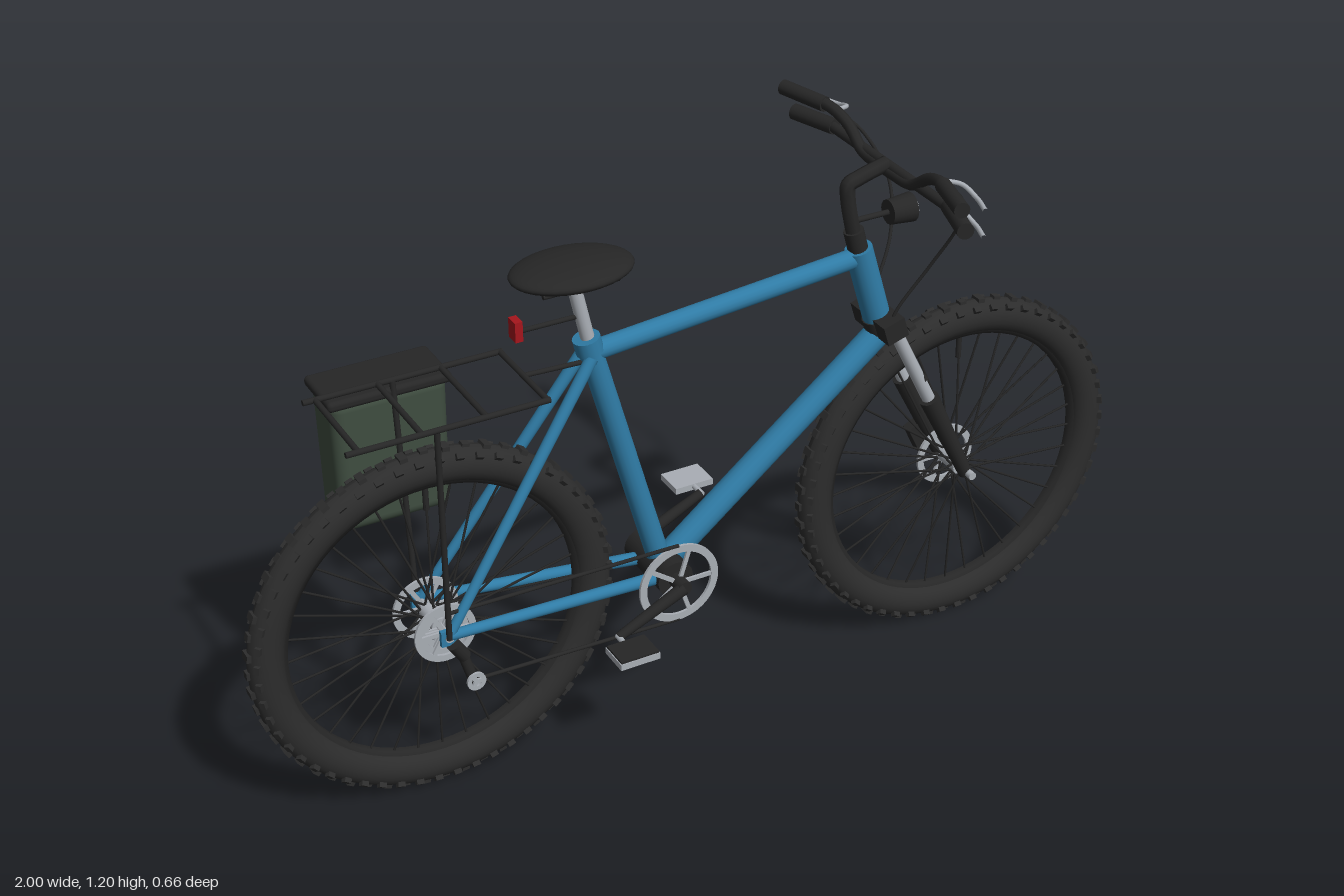
import * as THREE from 'three';
import { mergeGeometries } from 'three/addons/utils/BufferGeometryUtils.js';
import { RoundedBoxGeometry } from 'three/addons/geometries/RoundedBoxGeometry.js';

const mat = (name, color, side = THREE.FrontSide) => {
  const m = new THREE.MeshStandardMaterial({ color, side });
  m.name = name;
  return m;
};
const V = (p) => new THREE.Vector3(...p);

export function createModel() {
  const root = new THREE.Group();
  root.name = 'bicycle';
  const blue = mat('frame blue', 0x2f7ba5), black = mat('black', 0x262626), rubber = mat('tyre rubber', 0x2c2c2c);
  const silver = mat('silver', 0xa9aeb5), green = mat('bag green', 0x3f4d40), red = mat('reflector red', 0xa5161c);

  const add = (name, geo, material, pos = [0, 0, 0], parent = root) => {
    const m = new THREE.Mesh(geo, material);
    m.name = name;
    m.position.set(...pos);
    parent.add(m);
    return m;
  };
  // Straight cylinder geometry between two points
  const rodGeo = (a, b, r1, r2 = r1, sides = 16) => {
    const p = V(a), q = V(b), d = q.clone().sub(p);
    const g = new THREE.CylinderGeometry(r2, r1, d.length(), sides);
    g.applyQuaternion(new THREE.Quaternion().setFromUnitVectors(V([0, 1, 0]), d.normalize()));
    const c = p.add(q).multiplyScalar(0.5);
    return g.translate(c.x, c.y, c.z);
  };
  const rod = (name, a, b, r1, material, r2 = r1) => add(name, rodGeo(a, b, r1, r2), material);
  const tube = (name, pts, r, material, closed = false) =>
    add(name, new THREE.TubeGeometry(new THREE.CatmullRomCurve3(pts.map(V), closed, 'centripetal'), 40, r, 8, closed), material);
  const box = (name, size, pos, material) => add(name, new THREE.BoxGeometry(...size), material, pos);
  // Flat ring facing z, with an optional spider of arms
  const ring = (name, ro, ri, pos, arms, hub, material = silver) => {
    const s = new THREE.Shape().absarc(0, 0, ro, 0, Math.PI * 2);
    s.holes.push(new THREE.Path().absarc(0, 0, ri, 0, Math.PI * 2, true));
    const parts = [new THREE.ExtrudeGeometry(s, { depth: 0.006, bevelEnabled: false, curveSegments: 24 }).toNonIndexed()];
    for (let i = 0; i < arms; i++) {
      const g = new THREE.BoxGeometry(ri - hub + 0.004, 0.009, 0.005).translate((ri + hub) / 2, 0, 0.003);
      parts.push(g.rotateZ((i / arms) * Math.PI * 2).toNonIndexed());
    }
    return add(name, mergeGeometries(parts), material, pos);
  };

  // Wheels: tyre, tread blocks, rim, spokes and hub
  const wheel = (name, x) => {
    const w = new THREE.Group();
    w.name = name;
    w.position.set(x, 0.39, 0);
    root.add(w);
    const prof = [];
    for (let i = 0; i <= 20; i++) {
      const a = (i / 20) * Math.PI * 2;
      prof.push(new THREE.Vector2(0.348 + 0.037 * Math.cos(a), 0.031 * Math.sin(a)));
    }
    add('tyre', new THREE.LatheGeometry(prof, 72).rotateX(Math.PI / 2), rubber, [0, 0, 0], w);
    const rim = [[0.306, -0.008], [0.32, -0.015], [0.332, -0.015], [0.332, 0.015], [0.32, 0.015], [0.306, 0.008], [0.306, -0.008]];
    add('rim', new THREE.LatheGeometry(rim.map((p) => new THREE.Vector2(...p)), 72).rotateX(Math.PI / 2), black, [0, 0, 0], w);
    const knobs = [], spokes = [];
    for (let i = 0; i < 56; i++) {
      const a = (i / 56) * Math.PI * 2;
      const odd = i % 2;
      knobs.push(new THREE.BoxGeometry(0.012, 0.016, odd ? 0.026 : 0.016).translate(0.384, 0, 0).rotateZ(a));
      for (const s of [-1, 1])
        knobs.push(new THREE.BoxGeometry(0.014, 0.016, 0.012).rotateY(-s * 0.7).translate(0.372, 0, s * 0.024).rotateZ(a + 0.05));
    }
    for (let i = 0; i < 36; i++) {
      const a = (i / 36) * Math.PI * 2, b = a + (i % 4 < 2 ? 0.5 : -0.5), s = i % 2 ? 1 : -1;
      spokes.push(rodGeo([0.02 * Math.cos(b), 0.02 * Math.sin(b), s * 0.026], [0.31 * Math.cos(a), 0.31 * Math.sin(a), 0], 0.0026, 0.0026, 5));
    }
    add('treadBlocks', mergeGeometries(knobs), rubber, [0, 0, 0], w);
    add('spokes', mergeGeometries(spokes), black, [0, 0, 0], w);
    add('hub', rodGeo([0, 0, -0.032], [0, 0, 0.032], 0.018), silver, [0, 0, 0], w);
    add('axle', rodGeo([0, 0, -0.08], [0, 0, 0.08], 0.009), silver, [0, 0, 0], w);
    add('valve', rodGeo([0, 0.255, 0], [0, 0.31, 0], 0.006), black, [0, 0, 0], w);
  };
  wheel('rearWheel', -0.61);
  wheel('frontWheel', 0.61);
  ring('frontBrakeDisc', 0.07, 0.055, [0.61, 0.39, -0.033], 6, 0.015);
  ring('rearBrakeDisc', 0.07, 0.055, [-0.61, 0.39, -0.045], 6, 0.015);
  [0.065, 0.054, 0.043].forEach((r, i) => ring('rearSprocket', r, r - 0.014, [-0.61, 0.39, 0.052 - i * 0.008], 6, 0.012));

  // Frame
  const bb = [-0.105, 0.353, 0], seatTop = [-0.257, 0.912, 0];
  rod('seatTube', bb, seatTop, 0.024, blue);
  rod('topTube', [-0.252, 0.893, 0], [0.352, 0.947, 0], 0.021, blue);
  rod('downTube', bb, [0.4, 0.755, 0], 0.028, blue);
  rod('headTube', [0.35, 0.967, 0], [0.404, 0.785, 0], 0.029, blue);
  rod('bottomBracket', [-0.105, 0.353, -0.085], [-0.105, 0.353, 0.065], 0.04, black);
  for (const s of [-1, 1]) {
    rod('seatStay', [-0.258, 0.89, s * 0.018], [-0.61, 0.39, s * 0.072], 0.013, blue, 0.01);
    rod('chainStay', [-0.12, 0.352, s * 0.04], [-0.61, 0.393, s * 0.072], 0.014, blue, 0.011);
    box('dropout', [0.035, 0.035, 0.01], [-0.61, 0.39, s * 0.072], blue);
  }

  // Suspension fork
  rod('headsetCup', [0.4, 0.8, 0], [0.411, 0.765, 0], 0.032, black);
  box('forkCrown', [0.05, 0.045, 0.13], [0.408, 0.79, 0], black).rotation.z = 0.3;
  for (const s of [-1, 1]) {
    rod('forkStanchion', [0.408, 0.795, s * 0.049], [0.52, 0.57, s * 0.049], 0.014, silver);
    rod('forkLower', [0.505, 0.6, s * 0.051], [0.61, 0.385, s * 0.051], 0.022, black, 0.015);
    rod('brakeArm', [0.45, 0.71, s * 0.035], [0.49, 0.65, s * 0.055], 0.008, black);
  }
  box('brakeCaliper', [0.05, 0.07, 0.025], [0.565, 0.44, -0.06], black).rotation.z = 0.45;

  // Stem and handlebar
  rod('steererSpacer', [0.35, 0.962, 0], [0.337, 1.01, 0], 0.021, black);
  tube('stem', [[0.34, 0.99, 0], [0.322, 1.08, 0], [0.322, 1.112, 0], [0.345, 1.122, 0], [0.41, 1.14, 0]], 0.016, black);
  const upper = [[0.365, 1.187, 0.32], [0.4, 1.185, 0.2], [0.41, 1.165, 0.145], [0.41, 1.13, 0.09], [0.41, 1.125, 0.03]];
  tube('riserBar', [...upper, ...upper.map(([x, y, z]) => [x, y, -z]).reverse()], 0.012, black);
  rod('lowerBar', [0.415, 1.133, -0.22], [0.415, 1.133, 0.22], 0.011, black);
  for (const s of [-1, 1]) {
    rod('upperGrip', [0.365, 1.187, s * 0.328], [0.397, 1.185, s * 0.215], 0.016, black);
    rod('lowerGrip', [0.385, 1.133, s * 0.315], [0.418, 1.133, s * 0.21], 0.017, black);
    for (const y of [1.168, 1.112])
      tube('brakeLever', [[0.415, y + 0.012, s * 0.19], [0.445, y + 0.005, s * 0.21], [0.452, y - 0.008, s * 0.25], [0.435, y - 0.008, s * 0.305]], 0.005, silver);
    tube('brakeCable', [[0.42, 1.17, s * 0.21], [0.47, 1.12, s * 0.18], [0.5, 1.03, s * 0.125], [0.475, 0.93, s * 0.075], [0.42, 0.83, s * 0.045], [0.405, 0.79, s * 0.04]], 0.0035, black);
  }

  // Headlight
  rod('headlightBracket', [0.34, 1.03, 0], [0.43, 1.03, 0], 0.006, black);
  rod('headlight', [0.418, 1.03, 0], [0.472, 1.03, 0], 0.026, black, 0.031);
  rod('headlightLens', [0.471, 1.03, 0], [0.476, 1.03, 0], 0.025, silver);

  // Saddle, post and rear reflector
  rod('seatPost', [-0.25, 0.89, 0], [-0.287, 1.06, 0], 0.014, silver);
  rod('seatClamp', [-0.253, 0.895, 0], [-0.261, 0.927, 0], 0.028, blue);
  const saddle = new THREE.SphereGeometry(1, 32, 20);
  saddle.scale(0.126, 0.025, 0.088);
  add('saddle', saddle, black, [-0.287, 1.08, 0]);
  for (const s of [-1, 1]) rod('saddleRail', [-0.36, 1.05, s * 0.025], [-0.2, 1.05, s * 0.025], 0.005, black);
  rod('reflectorBracket', [-0.405, 0.977, 0], [-0.27, 0.977, 0], 0.005, black);
  box('rearReflector', [0.016, 0.042, 0.03], [-0.408, 0.985, 0.003], red);

  // Luggage rack
  for (const s of [-1, 1]) {
    rod('rackRail', [-0.8, 0.88, s * 0.106], [-0.39, 0.88, s * 0.106], 0.006, black);
    rod('rackStay', [-0.62, 0.88, s * 0.104], [-0.612, 0.39, s * 0.08], 0.006, black);
  }
  for (const x of [-0.775, -0.65, -0.52, -0.395]) rod('rackCrossbar', [x, 0.88, -0.106], [x, 0.88, 0.106], 0.006, black);
  rod('rackStrut', [-0.395, 0.88, 0], [-0.265, 0.875, 0], 0.005, black);

  // Side bag, slightly narrower at the bottom
  const bag = new RoundedBoxGeometry(0.245, 0.295, 0.118, 4, 0.025);
  const p = bag.attributes.position;
  for (let i = 0; i < p.count; i++) p.setX(i, p.getX(i) * (0.96 + 0.14 * p.getY(i)));
  add('sideBag', bag, green, [-0.625, 0.711, -0.163]);
  add('sideBagLid', new RoundedBoxGeometry(0.256, 0.022, 0.13, 3, 0.009), black, [-0.625, 0.854, -0.165]);

  // Cranks, chainring and pedals
  ring('chainring', 0.09, 0.074, [-0.105, 0.353, 0.075], 5, 0.015);
  rod('crankAxle', [-0.105, 0.353, -0.105], [-0.105, 0.353, 0.105], 0.016, black);
  for (const s of [-1, 1]) {
    const px = -0.105 - s * 0.15, py = 0.353 - s * 0.07;
    rod('crankArm', [-0.105, 0.353, s * 0.1], [px, py, s * 0.1], 0.014, black, 0.01);
    rod('pedalAxle', [px, py, s * 0.095], [px, py, s * 0.14], 0.006, silver);
    box('pedal', [0.088, 0.014, 0.068], [px, py, s * 0.162], silver);
    if (s > 0) box('pedalPad', [0.084, 0.005, 0.064], [px, py + 0.009, s * 0.162], black);
  }

  // Chain and rear derailleur
  rod('chainUpperRun', [-0.61, 0.44, 0.066], [-0.105, 0.443, 0.078], 0.004, black);
  rod('chainLowerRun', [-0.565, 0.268, 0.07], [-0.105, 0.263, 0.078], 0.004, black);
  rod('derailleurBody', [-0.605, 0.375, 0.078], [-0.58, 0.335, 0.072], 0.014, black);
  rod('derailleurCage', [-0.585, 0.345, 0.072], [-0.563, 0.268, 0.072], 0.011, black);
  ring('pulley', 0.02, 0.011, [-0.563, 0.275, 0.082], 3, 0);

  return root;
}
